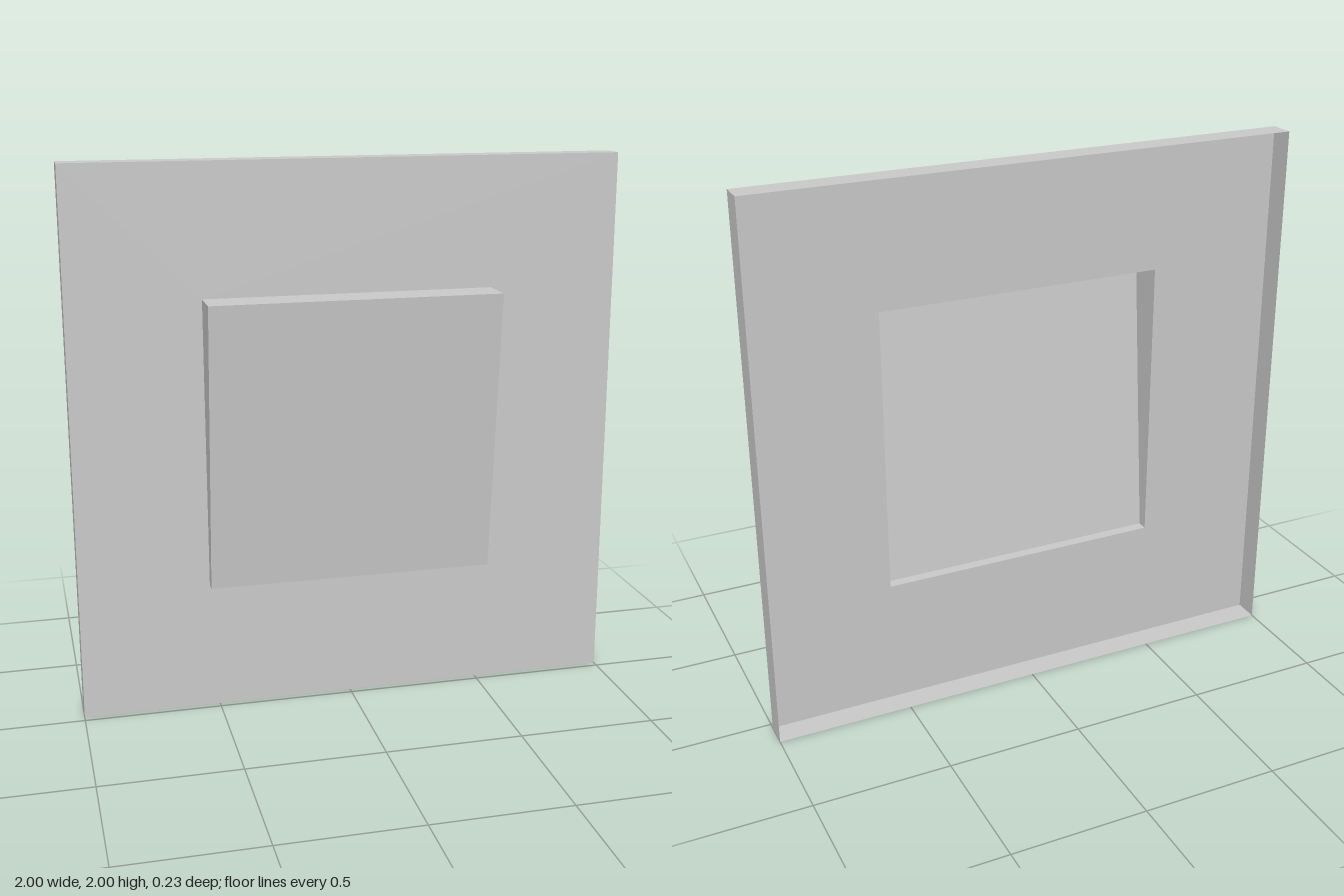
import * as THREE from 'three';

const material = new THREE.MeshStandardMaterial({
  color: 0xcccccc, flatShading: true, side: THREE.DoubleSide,
});

// Corners of a square about (0, 1), counter-clockwise seen from the front;
// zBottom and zTop set the depth of its lower and upper edges.
function square(half, zBottom, zTop = zBottom) {
  return [
    [-half, 1 - half, zBottom], [half, 1 - half, zBottom],
    [half, 1 + half, zTop], [-half, 1 + half, zTop],
  ];
}

// Band of four quads joining a back loop to a front loop, optionally capped in front.
function shell(back, front, capped) {
  const points = [];
  const quad = (a, b, c, d) => points.push(...a, ...b, ...c, ...a, ...c, ...d);
  for (let i = 0; i < 4; i++) {
    const j = (i + 1) % 4;
    quad(back[i], back[j], front[j], front[i]);
  }
  if (capped) quad(...front);
  const geometry = new THREE.BufferGeometry();
  geometry.setAttribute('position', new THREE.Float32BufferAttribute(points, 3));
  geometry.computeVertexNormals();
  return geometry;
}

export function createModel() {
  const group = new THREE.Group();
  group.name = 'wallSwitch';
  const add = (name, geometry) => {
    const mesh = new THREE.Mesh(geometry, material);
    mesh.name = name;
    group.add(mesh);
    return mesh;
  };
  const backZ = -0.115, faceZ = -0.024;
  const plateHalf = 1, rockerHalf = 0.527;

  // Front face of the plate with the opening for the rocker
  const outline = (half) => square(half, 0).map(([x, y]) => new THREE.Vector2(x, y));
  const face = new THREE.Shape(outline(plateHalf));
  face.holes.push(new THREE.Path(outline(rockerHalf).reverse()));
  add('plateFace', new THREE.ShapeGeometry(face)).position.z = faceZ;

  // Rim around the plate, open at the back
  add('plateRim', shell(square(plateHalf, backZ), square(plateHalf, faceZ), false));

  // Hollow tilted rocker, deeper at the top
  add('rocker', shell(square(rockerHalf, faceZ), square(rockerHalf, 0.015, 0.115), true));

  return group;
}
